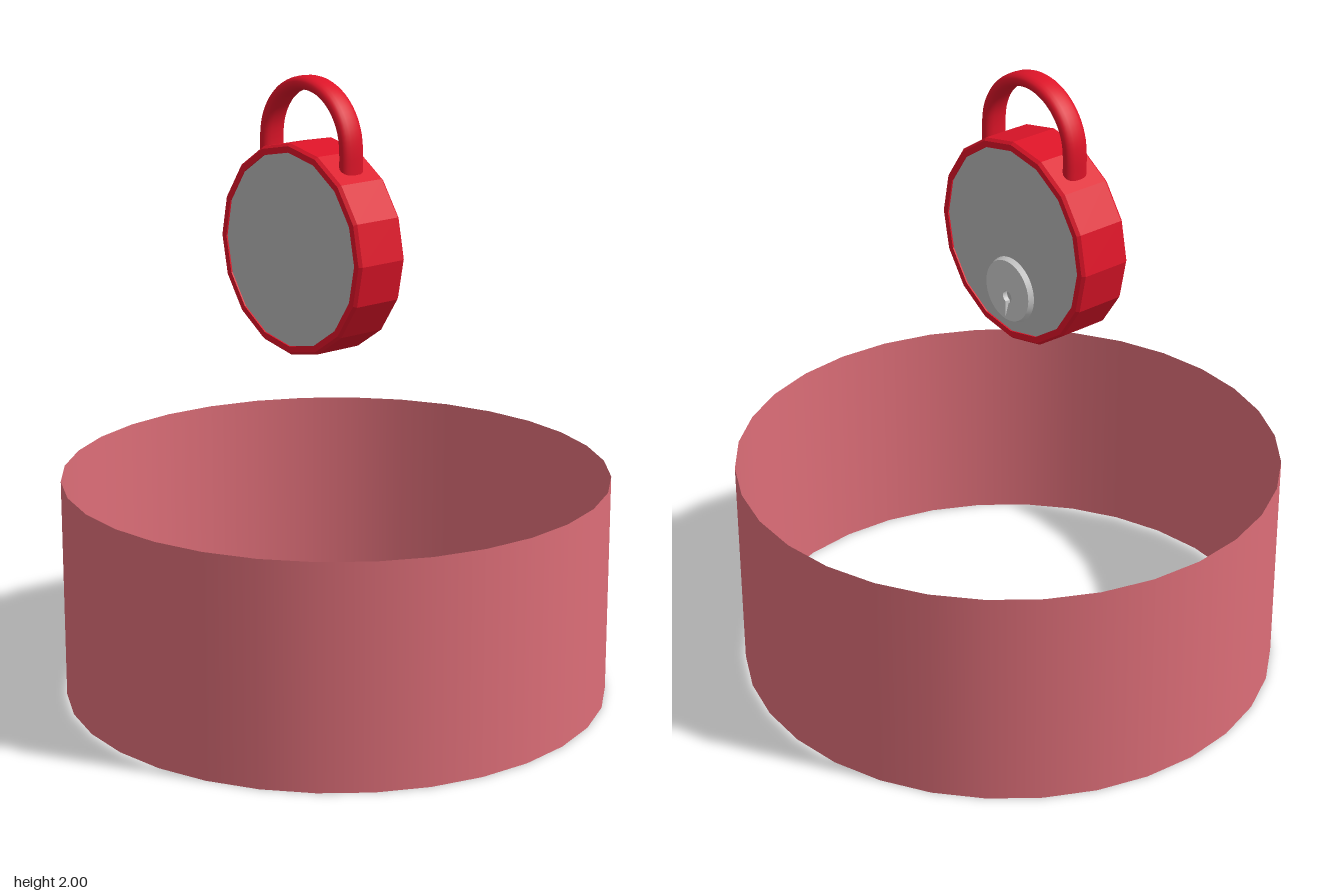
import * as THREE from 'three';
import { mergeVertices } from 'three/addons/utils/BufferGeometryUtils.js';

const mat = (color, extra = {}) => {
  const m = new THREE.MeshStandardMaterial({ color });
  return Object.assign(m, extra);
};

function part(name, geometry, material, parent) {
  const mesh = new THREE.Mesh(geometry, material);
  mesh.name = name;
  parent.add(mesh);
  return mesh;
}

// Arch with two legs; the round tube is widened along x into a rounded bar
function shackleGeometry() {
  const R = 0.187, r = 0.022, halfWidth = 0.0425, baseY = 0.324;
  const points = [new THREE.Vector3(0, 0.22, R), new THREE.Vector3(0, 0.27, R)];
  for (let i = 0; i <= 12; i++) {
    const a = (i / 12) * Math.PI;
    points.push(new THREE.Vector3(0, baseY + R * Math.sin(a), R * Math.cos(a)));
  }
  points.push(new THREE.Vector3(0, 0.27, -R), new THREE.Vector3(0, 0.22, -R));
  let geo = new THREE.TubeGeometry(new THREE.CatmullRomCurve3(points), 48, r, 20);
  const pos = geo.attributes.position;
  for (let i = 0; i < pos.count; i++) {
    const t = pos.getX(i) / r;
    pos.setX(i, halfWidth * Math.sign(t) * Math.abs(t) ** 0.7);
  }
  geo.deleteAttribute('normal');
  geo.deleteAttribute('uv');
  geo = mergeVertices(geo, 1e-5);
  geo.computeVertexNormals();
  return geo;
}

// Round plate pierced by a keyhole
function keyPlateGeometry() {
  const shape = new THREE.Shape().absarc(0, 0, 0.1, 0, Math.PI * 2);
  const hole = new THREE.Path();
  const a = Math.asin(0.007 / 0.02);
  hole.moveTo(0.007, -0.09);
  hole.absarc(0, -0.021, 0.02, -Math.PI / 2 + a, Math.PI * 1.5 - a, false);
  hole.lineTo(-0.007, -0.09);
  hole.closePath();
  shape.holes.push(hole);
  return new THREE.ExtrudeGeometry(shape, { depth: 0.017, bevelEnabled: false, curveSegments: 24 });
}

export function createModel() {
  const model = new THREE.Group();
  model.name = 'padlockAndBand';
  const red = 0xdd1428;

  // Open band standing on the ground
  const band = part('band', new THREE.CylinderGeometry(0.878, 0.878, 0.72, 32, 1, true),
    mat(0xdd6e78, { side: THREE.DoubleSide }), model);
  band.position.y = 0.36;

  // Padlock floating above the band
  const lock = new THREE.Group();
  lock.name = 'padlock';
  lock.position.set(0, 1.467, -0.013);
  model.add(lock);

  // Sixteen-sided case with chamfered rims, its axis along x
  const profile = [
    [0.305, -0.178], [0.305, -0.184], [0.325, -0.184], [0.333, -0.174],
    [0.333, -0.01], [0.325, 0], [0.305, 0], [0.305, -0.006],
  ].map(([x, y]) => new THREE.Vector2(x, y));
  const body = part('case', new THREE.LatheGeometry(profile, 16), mat(red, { flatShading: true }), lock);
  body.rotation.z = -Math.PI / 2;

  // Grey faces on both sides, slightly sunk into the rims
  const faces = part('faces', new THREE.CylinderGeometry(0.306, 0.306, 0.174, 16),
    mat(0xb4b4b4, { flatShading: true }), lock);
  faces.rotation.z = -Math.PI / 2;
  faces.position.x = -0.092;

  // Shackle
  const shackle = part('shackle', shackleGeometry(), mat(red), lock);
  shackle.position.x = -0.092;

  // Key plate with a tapered collar
  const plate = new THREE.Group();
  plate.name = 'keyPlate';
  plate.position.set(-0.005, -0.162, 0.003);
  lock.add(plate);
  part('keyholeDisc', keyPlateGeometry(), mat(0xcccccc), plate).rotation.y = Math.PI / 2;
  const collar = part('collar', new THREE.CylinderGeometry(0.1, 0.107, 0.017, 48, 1, true), mat(0xcccccc), plate);
  collar.rotation.z = -Math.PI / 2;
  collar.position.x = 0.0085;

  return model;
}
